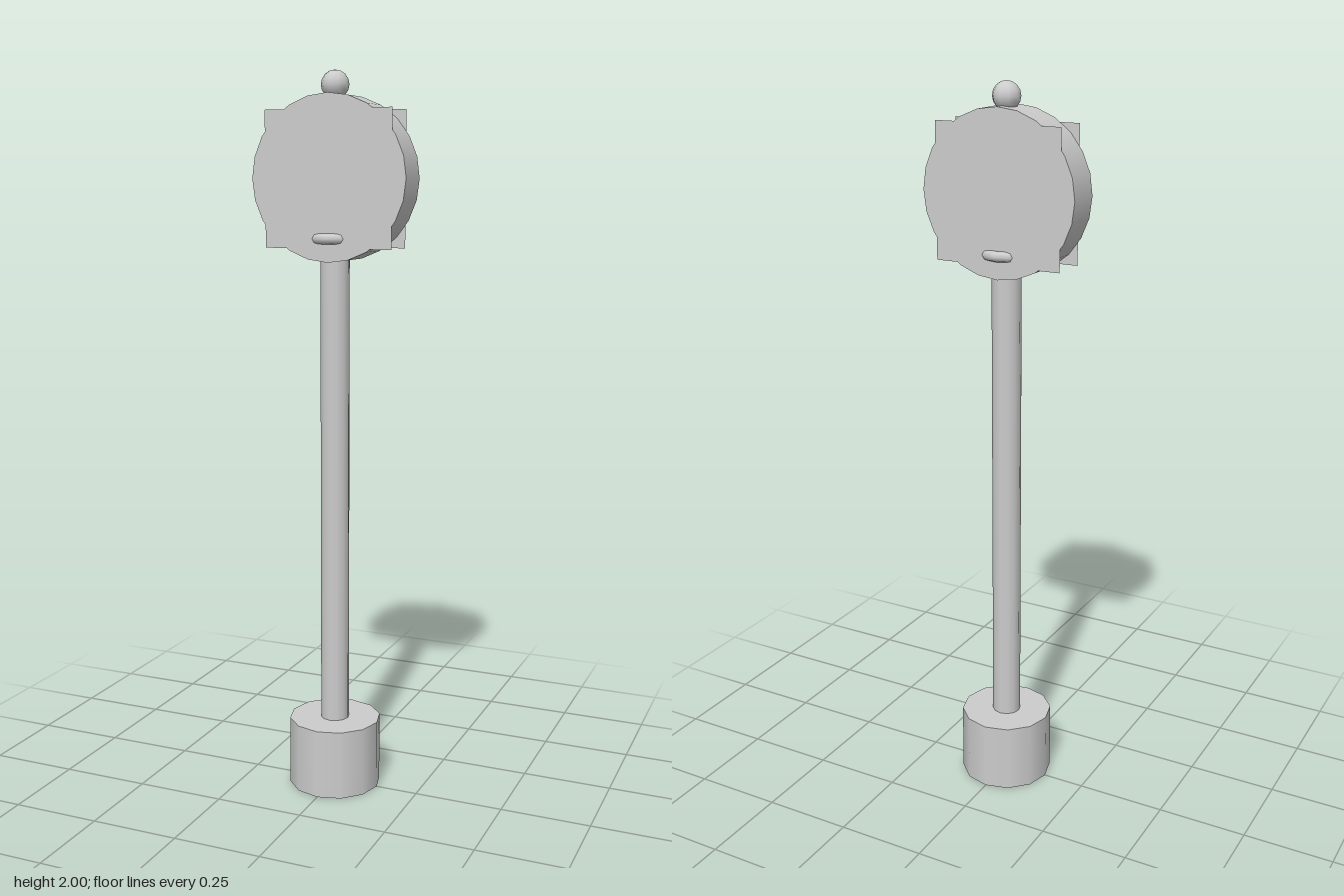
import * as THREE from 'three';

export function createModel() {
  const model = new THREE.Group();
  const metal = new THREE.MeshStandardMaterial({ color: 0xcccccc });
  metal.name = 'paleGreyMetal';
  const plateMetal = metal.clone();
  plateMetal.side = THREE.DoubleSide;

  const add = (name, geometry, y, z = 0, material = metal) => {
    const mesh = new THREE.Mesh(geometry, material);
    mesh.name = name;
    mesh.position.set(0, y, z);
    model.add(mesh);
    return mesh;
  };

  // Twelve-sided foot and slim pole
  add('base', new THREE.CylinderGeometry(0.13, 0.13, 0.196, 12), 0.098);
  add('pole', new THREE.CylinderGeometry(0.04, 0.04, 1.35, 12), 0.855);

  // Round head, its axis running front to back
  const headY = 1.718;
  add('head', new THREE.CylinderGeometry(0.221, 0.221, 0.104, 24).rotateX(Math.PI / 2), headY);

  // Square dial plates whose corners stand out beyond the round head
  for (const [name, side] of [['frontDial', 1], ['backDial', -1]]) {
    const plate = new THREE.PlaneGeometry(0.364, 0.364);
    if (side < 0) plate.rotateY(Math.PI);
    add(name, plate, headY - 0.002, side * 0.0525, plateMetal);
  }

  // Collar ring pushing through the lower part of the head
  add('collarRing', new THREE.TorusGeometry(0.057, 0.0145, 8, 12).rotateX(Math.PI / 2), 1.56);

  // Ball finial
  add('finial', new THREE.SphereGeometry(0.038, 10, 8).rotateY(Math.PI / 2), 1.962);

  return model;
}
